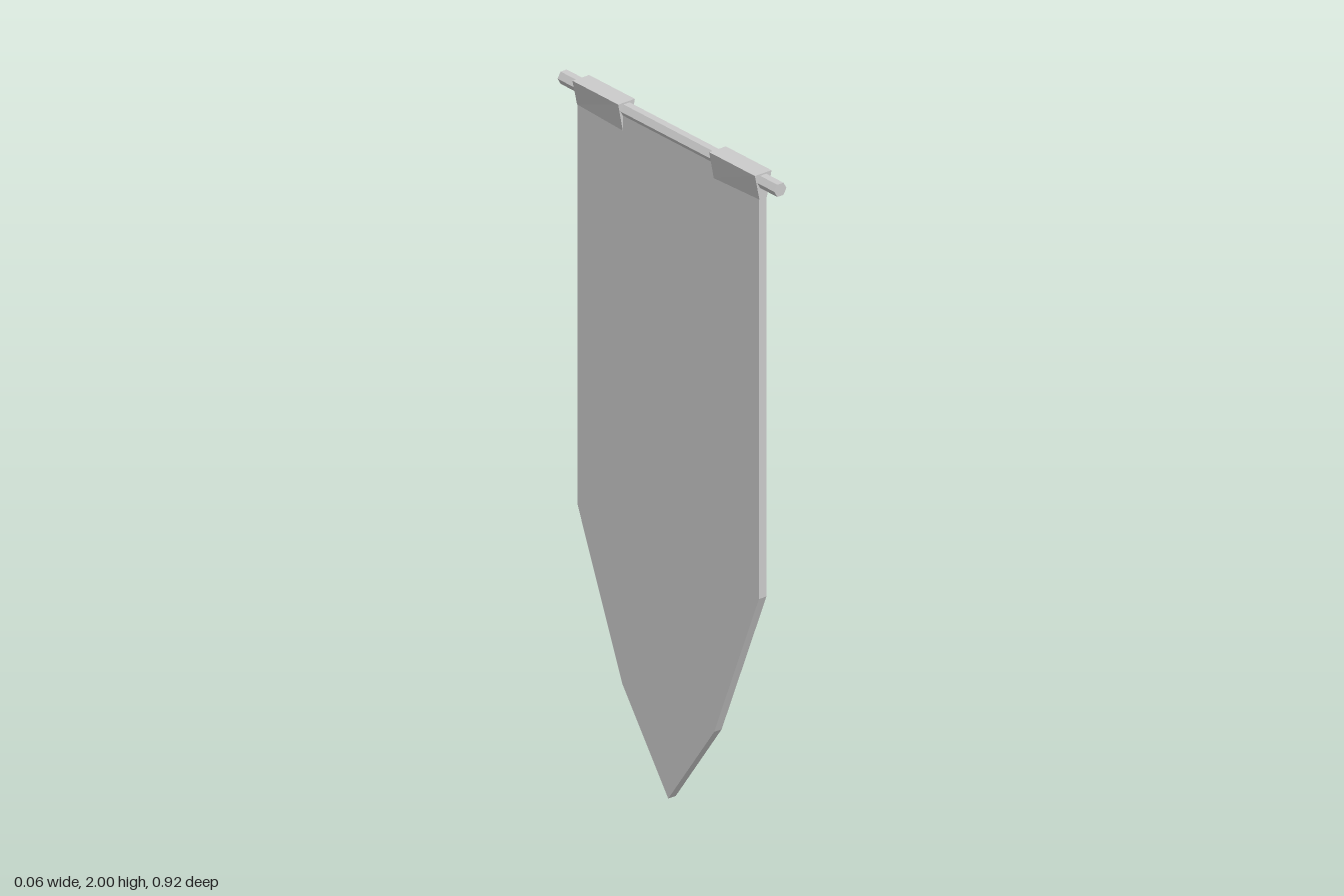
import * as THREE from 'three';

const material = new THREE.MeshStandardMaterial({ color: 0xcccccc, flatShading: true });

// Extrude an outline, centred on its depth
function slab(points, depth) {
  const shape = new THREE.Shape(points.map(([x, y]) => new THREE.Vector2(x, y)));
  return new THREE.ExtrudeGeometry(shape, { depth, bevelEnabled: false }).translate(0, 0, -depth / 2);
}

export function createModel() {
  const group = new THREE.Group();
  const add = (name, geometry) => {
    const mesh = new THREE.Mesh(geometry, material);
    mesh.name = name;
    group.add(mesh);
    return mesh;
  };

  // Hanging cloth with a pointed lower end, facing sideways
  const cloth = slab([
    [0, 0], [0.195, 0.27], [0.385, 0.735], [0.385, 1.965],
    [-0.385, 1.965], [-0.385, 0.735], [-0.195, 0.27],
  ], 0.026);
  add('cloth', cloth.rotateY(Math.PI / 2));

  // Six-sided rod, flat on top
  const rod = new THREE.CylinderGeometry(0.021, 0.021, 0.92, 6);
  rod.rotateY(Math.PI / 2).rotateX(Math.PI / 2);
  add('rod', rod).position.y = 1.977;

  // Tapered straps wrapped over the rod, slightly longer on the inner side
  for (const side of [-1, 1]) {
    const strap = slab([[-0.013, 1.925], [0.013, 1.925], [0.029, 2], [-0.029, 2]], 0.194);
    const p = strap.attributes.position;
    for (let i = 0; i < p.count; i++) {
      if (p.getY(i) < 1.95 && p.getZ(i) * side < 0) p.setY(i, 1.918);
    }
    strap.computeVertexNormals();
    add(side > 0 ? 'frontStrap' : 'backStrap', strap).position.z = side * 0.29;
  }

  return group;
}
